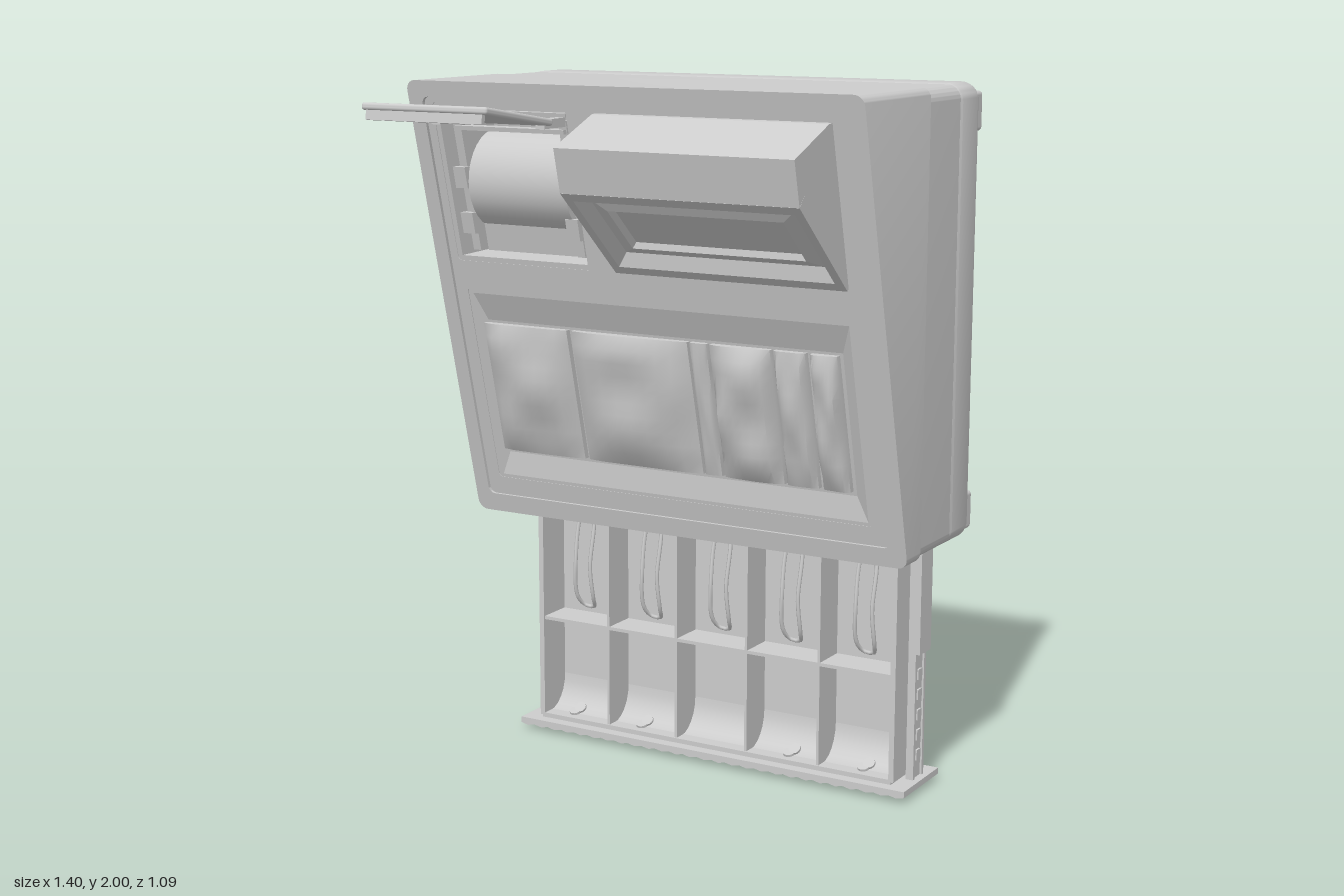
import * as THREE from 'three';
import { toCreasedNormals } from 'three/addons/utils/BufferGeometryUtils.js';
import { RoundedBoxGeometry } from 'three/addons/geometries/RoundedBoxGeometry.js';

const grey = new THREE.MeshStandardMaterial({ color: 0xcccccc });
grey.name = 'light grey';

// z of the sloping front face at height y
const face = (y) => 0.25 * (y - 0.72) - 0.11;

function add(parent, name, geo, x = 0, y = 0, z = 0) {
  const m = new THREE.Mesh(geo, grey);
  m.name = name;
  m.position.set(x, y, z);
  parent.add(m);
  return m;
}

// box given by its limits
function box(parent, name, x0, x1, y0, y1, z0, z1, r = 0) {
  const s = [x1 - x0, y1 - y0, z1 - z0];
  const g = r ? new RoundedBoxGeometry(...s, 2, r) : new THREE.BoxGeometry(...s);
  return add(parent, name, g, (x0 + x1) / 2, (y0 + y1) / 2, (z0 + z1) / 2);
}

function moveVertices(geo, rule) {
  const p = geo.attributes.position, v = new THREE.Vector3();
  for (let i = 0; i < p.count; i++) {
    v.fromBufferAttribute(p, i);
    rule(v);
    p.setXYZ(i, v.x, v.y, v.z);
  }
  geo.computeVertexNormals();
  return geo;
}

// slide a geometry so that z = 0 lies on the sloping face
const onFace = (geo) => moveVertices(geo, (v) => { v.z += face(v.y); });

function roundRect(x0, x1, y0, y1, r, Type = THREE.Shape) {
  const s = new Type();
  const q = Math.PI / 2;
  s.absarc(x1 - r, y1 - r, r, 0, q, false);
  s.absarc(x0 + r, y1 - r, r, q, 2 * q, false);
  s.absarc(x0 + r, y0 + r, r, 2 * q, 3 * q, false);
  s.absarc(x1 - r, y0 + r, r, 3 * q, 4 * q, false);
  s.closePath();
  return s;
}

// rectangular rings [x0, x1, y0, y1, z] joined from outside in, last one capped
function rings(list) {
  const pos = [];
  const c = list.map(([a, b, d, e, z]) => [[a, d, z], [b, d, z], [b, e, z], [a, e, z]]);
  const quad = (p, q, r, s) => pos.push(...p, ...q, ...r, ...p, ...r, ...s);
  for (let k = 0; k + 1 < c.length; k++)
    for (let i = 0; i < 4; i++) {
      const j = (i + 1) % 4;
      quad(c[k][i], c[k][j], c[k + 1][j], c[k + 1][i]);
    }
  quad(...c[c.length - 1]);
  const g = new THREE.BufferGeometry();
  g.setAttribute('position', new THREE.Float32BufferAttribute(pos, 3));
  g.computeVertexNormals();
  return g;
}

// profile of [z, y] points extruded from x0 to x1
function prism(points, x0, x1) {
  const s = new THREE.Shape(points.map(([z, y]) => new THREE.Vector2(-z, y)));
  const g = new THREE.ExtrudeGeometry(s, { depth: x1 - x0, bevelEnabled: false });
  return g.rotateY(Math.PI / 2).translate(x0, 0, 0);
}

function buildHousing(root) {
  const g = new THREE.Group();
  g.name = 'housing';
  root.add(g);
  // base tray with softened edges, and the straight middle band
  const base = new THREE.ExtrudeGeometry(roundRect(-0.68, 0.68, 0.74, 1.98, 0.03),
    { depth: 0.1, bevelThickness: 0.02, bevelSize: 0.02, bevelSegments: 3, curveSegments: 5 });
  add(g, 'baseShell', toCreasedNormals(base, 0.7), 0, 0, -0.5);
  add(g, 'middleBand', toCreasedNormals(new THREE.ExtrudeGeometry(
    roundRect(-0.697, 0.697, 0.723, 1.997, 0.04), { depth: 0.2, bevelEnabled: false }), 0.7), 0, 0, -0.39);
  // wedge shell whose open front follows the slope
  const outer = roundRect(-0.7, 0.7, 0.72, 2, 0.03);
  outer.holes.push(roundRect(-0.655, 0.655, 0.775, 1.955, 0.02, THREE.Path));
  const wedge = new THREE.ExtrudeGeometry(outer, { depth: 1, bevelEnabled: false, curveSegments: 5 });
  moveVertices(wedge, (v) => { v.z = v.z > 0.5 ? face(v.y) : -0.19; });
  add(g, 'wedgeShell', toCreasedNormals(wedge, 0.6));
  // front panel with openings for the printer and the keys
  const panel = roundRect(-0.66, 0.66, 0.77, 1.96, 0.02);
  panel.holes.push(roundRect(-0.63, -0.18, 1.49, 1.94, 0.012, THREE.Path));
  panel.holes.push(roundRect(-0.615, 0.605, 0.83, 1.41, 0.012, THREE.Path));
  const plate = new THREE.ExtrudeGeometry(panel, { depth: 0.02, bevelEnabled: false });
  add(g, 'frontPanel', toCreasedNormals(onFace(plate.translate(0, 0, -0.03)), 0.6));
  // feet on the back
  for (const sx of [-1, 1])
    for (const y of [0.8, 1.92]) {
      box(g, 'foot', sx * 0.655 - 0.042, sx * 0.655 + 0.042, y - 0.055, y + 0.055, -0.545, -0.49, 0.012);
      for (let i = -2; i <= 2; i++)
        box(g, 'footRib', sx * 0.655 - 0.03, sx * 0.655 + 0.03, y + i * 0.018 - 0.004, y + i * 0.018 + 0.004, -0.55, -0.54);
    }
}

function buildKeyboard(root) {
  const g = new THREE.Group();
  g.name = 'keyboard';
  root.add(g);
  add(g, 'keyTray', onFace(rings([[-0.62, 0.61, 0.825, 1.415, -0.012], [-0.6, 0.59, 0.84, 1.395, -0.012],
    [-0.575, 0.555, 0.91, 1.315, -0.03]])));
  // soft uneven key blocks: [left, right, height]
  const keys = [[-0.58, -0.3, 0.04], [-0.285, 0.09, 0.04], [0.098, 0.15, 0.012],
    [0.16, 0.345, 0.045], [0.355, 0.45, 0.03], [0.465, 0.545, 0.035]];
  keys.forEach(([a, b, h], n) => {
    const w = b - a;
    const k = new THREE.BoxGeometry(w, 0.385, 0.04, 8, 10, 1).translate((a + b) / 2, 1.115, -0.02);
    moveVertices(k, (v) => {
      if (v.z < -0.01) return;
      const u = (v.x - a) / w, t = (v.y - 0.92) / 0.39;
      const pillow = Math.pow(Math.max(0, 16 * u * (1 - u) * t * (1 - t)), 0.35);
      v.z = -0.012 + h * pillow * (1 + 0.3 * Math.sin(9 * t + 2.3 * n) * Math.cos(5 * u + n));
    });
    add(g, 'keyBlock', toCreasedNormals(onFace(k), 0.8));
  });
}

function buildPrinter(root) {
  const g = new THREE.Group();
  g.name = 'receiptPrinter';
  root.add(g);
  add(g, 'printerWell', onFace(rings([[-0.63, -0.18, 1.49, 1.94, -0.012],
    [-0.615, -0.195, 1.505, 1.925, -0.012], [-0.6, -0.21, 1.515, 1.915, -0.24]])));
  // paper roll between two brackets, with a strip of paper in front
  const roll = new THREE.CylinderGeometry(0.14, 0.14, 0.32, 32).rotateZ(Math.PI / 2);
  add(g, 'paperRoll', roll, -0.39, 1.72, face(1.72) - 0.15);
  add(g, 'paperStrip', onFace(new THREE.BoxGeometry(0.32, 0.19, 0.015).translate(-0.39, 1.615, -0.06)));
  for (const s of [-1, 1]) {
    const x = -0.405 + s * 0.175;
    add(g, 'rollBracket', onFace(new THREE.BoxGeometry(0.025, 0.38, 0.16).translate(x, 1.71, -0.12)));
    for (const y of [1.6, 1.73])
      add(g, 'bracketClip', onFace(new THREE.BoxGeometry(0.04, 0.06, 0.04).translate(x, y, -0.035)));
    box(g, 'lidHinge', -0.4 + s * 0.17 - 0.015, -0.4 + s * 0.17 + 0.015, 1.885, 1.91, 0.15, 0.25);
  }
  for (let i = 0; i < 3; i++)
    add(g, 'cutterBar', onFace(new THREE.BoxGeometry(0.36, 0.012, 0.05).translate(-0.4, 1.87 + i * 0.022, -0.05 - i * 0.01)));
  // open lid with a lip at its free edge
  const lid = new THREE.Group();
  lid.name = 'printerLid';
  lid.position.set(-0.4, 1.926, 0.385);
  lid.rotation.x = -0.155;
  g.add(lid);
  box(lid, 'lidPlate', -0.2, 0.2, -0.01, 0.01, -0.157, 0.157, 0.008);
  box(lid, 'lidLip', -0.185, 0.185, -0.035, -0.005, 0.138, 0.152);
}

function buildDisplay(root) {
  const g = new THREE.Group();
  g.name = 'display';
  root.add(g);
  add(g, 'displayHood', prism([[0.06, 1.94], [0.2, 1.925], [0.385, 1.85], [0.355, 1.73], [0.329, 1.76], [0.054, 1.52]], -0.1, 0.6));
  const screen = add(g, 'screenBezel', rings([[-0.35, 0.35, -0.182, 0.182, -0.045], [-0.35, 0.35, -0.182, 0.182, 0],
    [-0.325, 0.325, -0.15, 0.15, 0], [-0.3, 0.3, -0.12, 0.12, -0.03], [-0.26, 0.26, -0.085, 0.085, -0.02],
    [-0.25, 0.25, -0.075, 0.075, -0.035]]), 0.25, 1.61, 0.2175);
  screen.rotation.x = 0.853;
}

function buildDrawer(root) {
  const g = new THREE.Group();
  g.name = 'drawer';
  root.add(g);
  const top = 0.8;
  box(g, 'drawerFloor', -0.6, 0.6, 0.035, top, -0.4, -0.385);
  // money tray dividers
  for (let i = 0; i <= 5; i++) {
    const x = -0.59 + i * 0.236, w = i % 5 ? 0.004 : 0.008;
    box(g, 'divider', x - w, x + w, 0.045, top, -0.39, i % 5 ? -0.275 : -0.27);
  }
  box(g, 'crossDivider', -0.59, 0.59, 0.35, 0.36, -0.39, -0.275);
  box(g, 'trayEnd', -0.59, 0.59, 0.038, 0.052, -0.39, -0.27);
  // curved coin scoops
  const scoop = [[-0.39, 0.05]];
  for (let i = 0; i <= 6; i++) {
    const a = (i / 6) * Math.PI / 2;
    scoop.push([-0.3 - 0.085 * Math.sin(a), 0.05 + 0.1 * (1 - Math.cos(a))]);
  }
  add(g, 'coinScoops', toCreasedNormals(prism(scoop.reverse(), -0.585, 0.585), 0.5));
  // note clips: bent wire loop on a small hinge
  for (let i = 0; i < 5; i++) {
    const x = -0.472 + i * 0.236;
    const pts = [[-0.018, 0.68, -0.35], [-0.026, 0.52, -0.32], [-0.028, 0.42, -0.335], [-0.015, 0.388, -0.36],
      [0.015, 0.388, -0.36], [0.028, 0.42, -0.335], [0.026, 0.52, -0.32], [0.018, 0.68, -0.35]];
    const path = new THREE.CatmullRomCurve3(pts.map((p) => new THREE.Vector3(...p)), true);
    add(g, 'noteClip', new THREE.TubeGeometry(path, 40, 0.006, 6, true), x);
    box(g, 'clipHinge', x - 0.03, x + 0.03, 0.66, 0.73, -0.385, -0.335, 0.008);
    for (const s of [-1, 1]) box(g, 'clipLug', x + s * 0.042 - 0.01, x + s * 0.042 + 0.01, 0.67, 0.7, -0.385, -0.33);
  }
  // a few coins
  for (const x of [-0.49, -0.25, 0.25, 0.49])
    for (let i = 0; i < 2; i++) {
      const coin = add(g, 'coin', new THREE.CylinderGeometry(0.018, 0.018, 0.007, 16), x + i * 0.012, 0.064 + i * 0.01, -0.3 - i * 0.012);
      coin.rotation.x = 0.3 + i * 0.4;
    }
  // sliding rails on both sides
  for (const s of [-1, 1]) {
    const rail = (name, xa, xb, ...r) => box(g, name, Math.min(s * xa, s * xb), Math.max(s * xa, s * xb), ...r);
    rail('innerRail', 0.605, 0.622, 0.035, top, -0.4, -0.345);
    rail('railLip', 0.605, 0.628, 0.035, top, -0.35, -0.338);
    rail('railLip', 0.605, 0.628, 0.035, top, -0.408, -0.396);
    rail('outerRail', 0.622, 0.64, 0.41, top, -0.412, -0.338);
    for (let i = 0; i < 5; i++) rail('railBump', 0.615, 0.628, 0.09 + i * 0.06, 0.12 + i * 0.06, -0.385, -0.36);
  }
  // front plate, finely ribbed on its outer face
  const s = new THREE.Shape();
  s.moveTo(-0.648, 0.037);
  const n = 54;
  for (let i = 0; i <= n; i++) s.lineTo(-0.648 + (1.294 * i) / n, i % 2 ? 0.014 : 0.019);
  s.lineTo(0.646, 0.037);
  s.closePath();
  add(g, 'drawerFront', new THREE.ExtrudeGeometry(s, { depth: 0.235, bevelEnabled: false }), 0, 0, -0.473);
  add(g, 'drawerLock', new THREE.CylinderGeometry(0.042, 0.038, 0.02, 24), -0.04, 0.01, -0.36);
  box(g, 'lockKeyway', -0.05, -0.03, 0, 0.006, -0.385, -0.335);
}

export function createModel() {
  const root = new THREE.Group();
  root.name = 'cashRegister';
  buildHousing(root);
  buildKeyboard(root);
  buildPrinter(root);
  buildDisplay(root);
  buildDrawer(root);
  return root;
}
